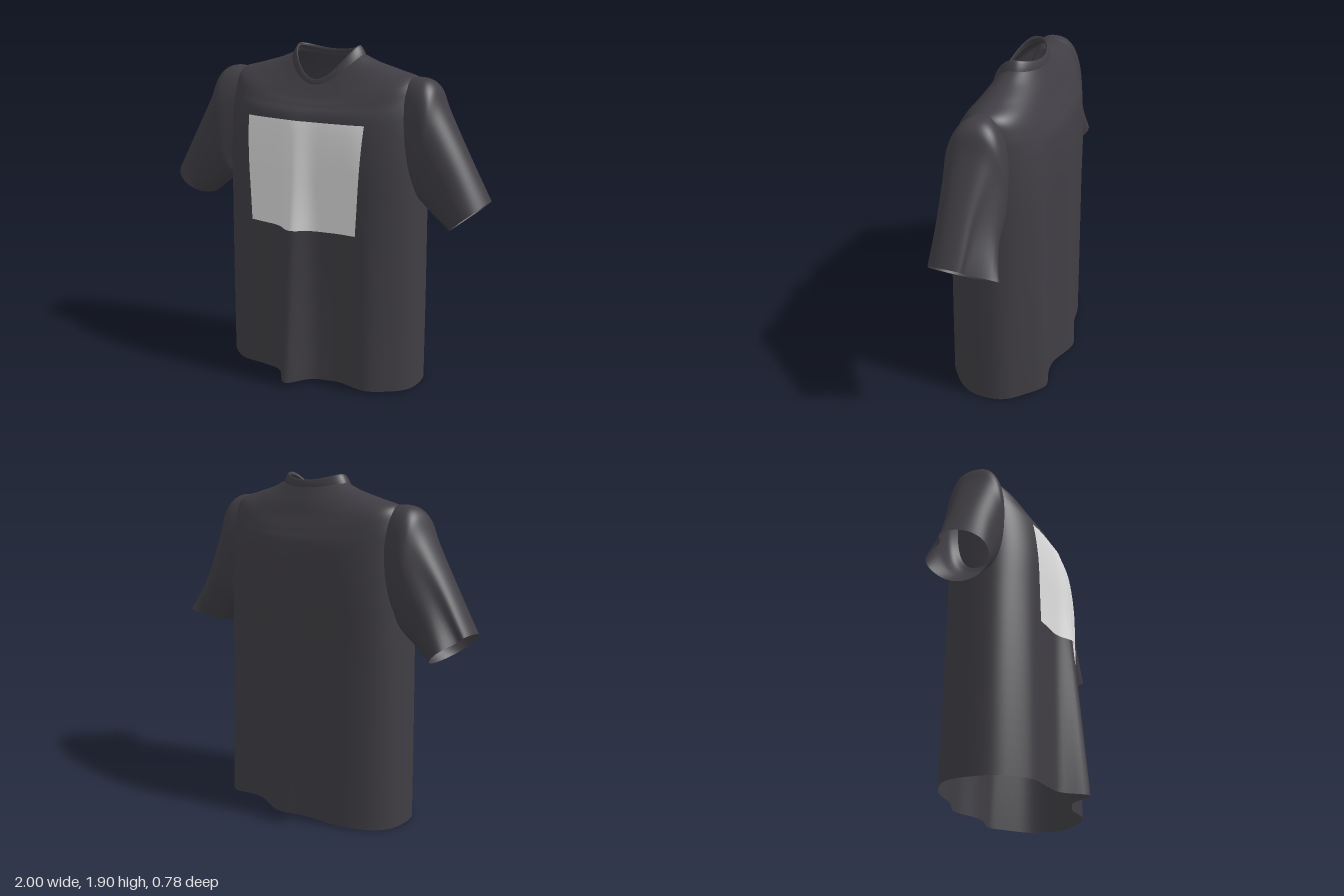
import * as THREE from 'three';

// Catmull-Rom interpolation through rows of numbers, u in 0..rows-1
function sample(rows, u) {
  const i = Math.min(Math.floor(u), rows.length - 2), t = u - i;
  const row = (k) => rows[Math.max(0, Math.min(rows.length - 1, k))];
  const [a, b, c, d] = [row(i - 1), row(i), row(i + 1), row(i + 2)];
  return b.map((_, k) => 0.5 * (2 * b[k] + (c[k] - a[k]) * t
    + (2 * a[k] - 5 * b[k] + 4 * c[k] - d[k]) * t * t
    + (3 * b[k] - a[k] - 3 * c[k] + d[k]) * t * t * t));
}

// Grid surface from point(i, j); closed joins the last column to the first
function loft(rows, cols, closed, point) {
  const pos = [], index = [];
  const n = closed ? cols : cols + 1;
  for (let i = 0; i <= rows; i++) for (let j = 0; j < n; j++) pos.push(...point(i / rows, j / cols));
  for (let i = 0; i < rows; i++) for (let j = 0; j < cols; j++) {
    const k = (j + 1) % n, a = i * n + j, b = a + n, c = i * n + k, d = c + n;
    index.push(a, b, c, c, b, d);
  }
  const g = new THREE.BufferGeometry();
  g.setAttribute('position', new THREE.Float32BufferAttribute(pos, 3));
  g.setIndex(index);
  g.computeVertexNormals();
  return g;
}

const bump = (x, at, width) => Math.exp(-(((x - at) / width) ** 2));
const SHIFT = 0.006; // the body hangs slightly to its left

// Torso rings: half width, y at side / front / back, z at front / side / back, squareness
const TORSO = [
  [0.617, 0.00, 0.02, 0.01, 0.25, -0.04, -0.335, 2.6],
  [0.614, 0.50, 0.50, 0.50, 0.25, -0.04, -0.33, 2.6],
  [0.608, 1.00, 1.00, 1.00, 0.25, -0.04, -0.325, 2.6],
  [0.602, 1.30, 1.30, 1.30, 0.25, -0.04, -0.325, 2.6],
  [0.598, 1.52, 1.52, 1.52, 0.228, -0.04, -0.312, 2.5],
  [0.59, 1.66, 1.585, 1.60, 0.185, -0.045, -0.285, 2.5],
  [0.56, 1.745, 1.62, 1.67, 0.152, -0.05, -0.25, 2.5],
  [0.44, 1.782, 1.65, 1.74, 0.13, -0.058, -0.22, 2.3],
  [0.31, 1.818, 1.675, 1.79, 0.113, -0.065, -0.195, 2.1],
  [0.222, 1.853, 1.694, 1.828, 0.10, -0.07, -0.176, 2],
];

// Collar band, from its seam up to the rim and a little way inside
const COLLAR = [
  [0.222, 1.853, 1.694, 1.828, 0.10, -0.07, -0.176, 2],
  [0.213, 1.872, 1.703, 1.842, 0.099, -0.07, -0.174, 2],
  [0.197, 1.896, 1.718, 1.862, 0.094, -0.07, -0.167, 2],
  [0.187, 1.90, 1.722, 1.867, 0.089, -0.07, -0.161, 2],
  [0.184, 1.886, 1.714, 1.855, 0.087, -0.07, -0.158, 2],
];

// Hanging folds that deepen towards the hem
function fold(x, y, front) {
  const drop = Math.max(0, 1 - y / 1.56);
  if (front) {
    return Math.pow(drop, 0.85) * (0.145 * bump(x, -0.02, 0.08)
      + 0.03 * bump(x, 0.43, 0.09) + 0.025 * bump(x, -0.43, 0.09) - 0.02 * bump(x, 0.24, 0.08));
  }
  return Math.pow(drop, 0.8) * (0.01 * bump(x, 0.22, 0.07) - 0.055 * bump(x, 0.01, 0.12)
    - 0.065 * bump(x, 0.43, 0.09) - 0.01 * bump(x, -0.36, 0.1));
}

function ringPoint(rows, v, a) {
  const [w, ys, yf, yb, zf, zs, zb, n] = sample(rows, v * (rows.length - 1));
  const c = Math.cos(a * Math.PI * 2), s = Math.sin(a * Math.PI * 2), front = s >= 0;
  const r = Math.pow(Math.pow(Math.abs(c), n) + Math.pow(Math.abs(s), n), -1 / n);
  const x = w * r * c + SHIFT;
  const y = ys + ((front ? yf : yb) - ys) * s * s;
  const z = zs + r * Math.abs(s) * ((front ? zf : zb) - zs + fold(x, y, front));
  return [x, y, z];
}

// Depth of the torso front at a given x and y
function frontZ(x, y) {
  let lo = 0, hi = 5;
  for (let k = 0; k < 30; k++) {
    const mid = (lo + hi) / 2;
    if (sample(TORSO, mid)[2] < y) lo = mid; else hi = mid;
  }
  const [w, , , , zf, zs, , n] = sample(TORSO, lo);
  const depth = Math.pow(1 - Math.pow(Math.abs((x - SHIFT) / w), n), 1 / n);
  return zs + depth * (zf - zs + fold(x, y, true));
}

// Sleeve rings: top x, y, bottom x, y, z at front / back, squareness
const SLEEVE = [
  [0.44, 1.735, 0.54, 1.22, 0.07, -0.15, 2],
  [0.59, 1.757, 0.59, 1.16, 0.115, -0.18, 2.3],
  [0.675, 1.72, 0.62, 1.11, 0.13, -0.192, 2.5],
  [0.735, 1.60, 0.66, 1.07, 0.127, -0.188, 2.4],
  [0.87, 1.365, 0.725, 1.015, 0.122, -0.17, 2.2],
  [1.0, 1.135, 0.797, 0.96, 0.128, -0.18, 2],
];

function sleevePoint(side, v, a) {
  const [tx, ty, bx, by, zf, zb, n] = sample(SLEEVE, v * (SLEEVE.length - 1));
  const c = Math.cos(a * Math.PI * 2), s = -side * Math.sin(a * Math.PI * 2);
  const r = Math.pow(Math.pow(Math.abs(c), n) + Math.pow(Math.abs(s), n), -1 / n);
  const x = (tx + bx) / 2 + (tx - bx) / 2 * r * c;
  const y = (ty + by) / 2 + (ty - by) / 2 * r * c;
  let z = (zf + zb) / 2 + (zf - zb) / 2 * r * s;
  // soft crease along the back of the sleeve, opening at the cuff
  const open = v * v * v;
  if (s < 0) {
    z += s * open * ((side > 0 ? 0.065 : 0.01) * bump(c, -0.05, 0.4) - 0.08 * bump(c, 0.65, 0.28));
  } else if (side < 0) {
    z += s * open * 0.022;
  }
  return [side * x, y, z];
}

export function createModel() {
  const cloth = new THREE.MeshStandardMaterial({ color: 0x403e44, side: THREE.DoubleSide });
  cloth.name = 'charcoal cloth';
  const ink = new THREE.MeshStandardMaterial({ color: 0xe0e0e0, side: THREE.DoubleSide });
  ink.name = 'pale grey print';

  const shirt = new THREE.Group();
  shirt.name = 'shirt';
  const add = (name, geometry, material) => {
    const mesh = new THREE.Mesh(geometry, material);
    mesh.name = name;
    shirt.add(mesh);
  };

  add('torso', loft(72, 192, true, (v, a) => ringPoint(TORSO, v, a)), cloth);
  add('collar', loft(12, 96, true, (v, a) => ringPoint(COLLAR, v, a)), cloth);
  for (const side of [1, -1]) {
    add(side > 0 ? 'leftSleeve' : 'rightSleeve',
      loft(40, 64, true, (v, a) => sleevePoint(side, v, a)), cloth);
  }

  // Blank chest panel following the cloth, slightly wider at the top
  add('chestPrint', loft(40, 80, false, (v, h) => {
    const y = 0.912 + 0.6 * v;
    const left = -0.33 - 0.03 * v, right = 0.345 + 0.03 * v;
    const x = right + (left - right) * h;
    return [x, y, frontZ(x, y) + 0.007];
  }), ink);

  return shirt;
}
